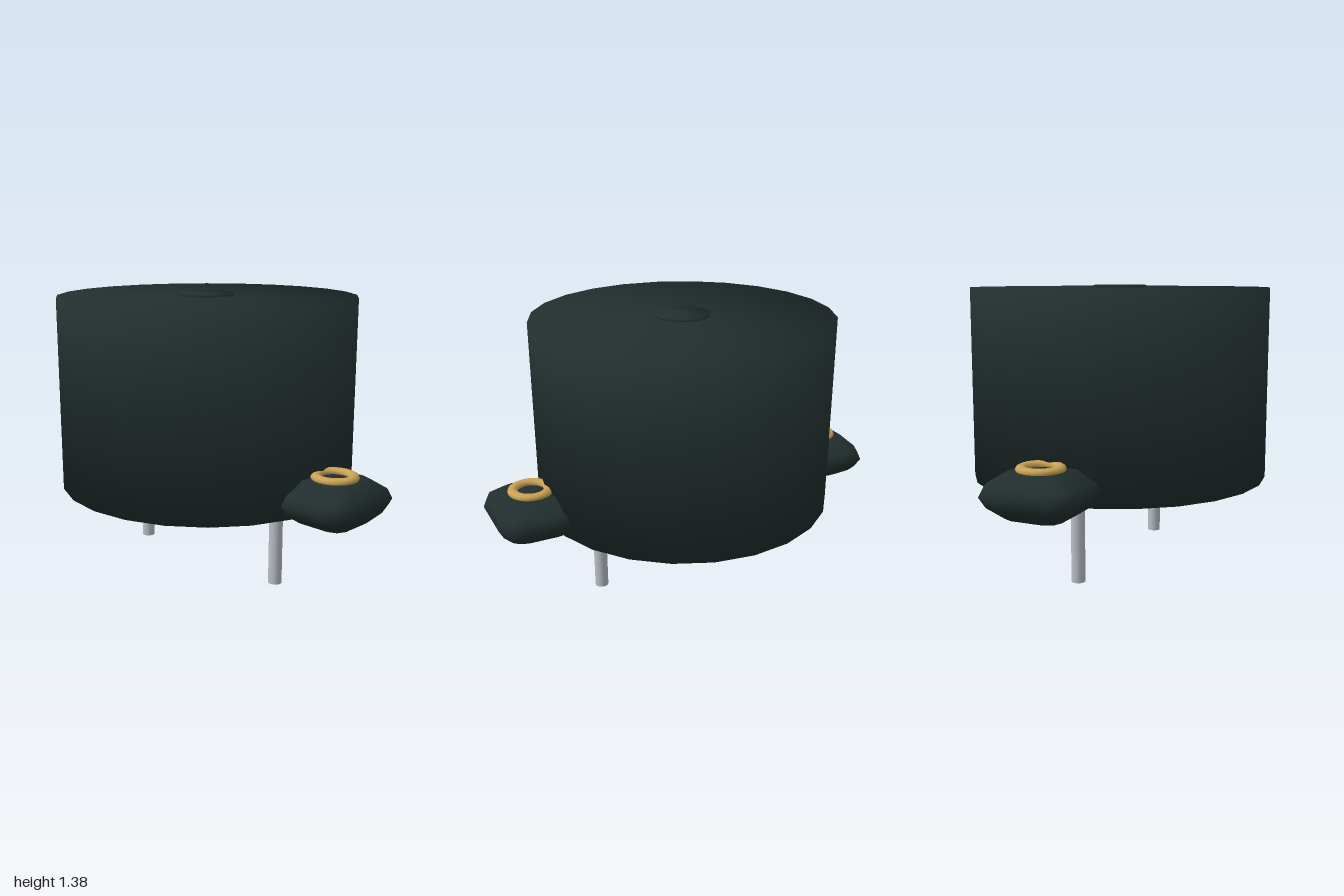
import * as THREE from 'three';
import { mergeVertices } from 'three/addons/utils/BufferGeometryUtils.js';

const dark = new THREE.MeshStandardMaterial({ color: 0x222e2e });
dark.name = 'dark green casing';
const gold = new THREE.MeshStandardMaterial({ color: 0xc9a254 });
gold.name = 'gold eyelet';
const steel = new THREE.MeshStandardMaterial({ color: 0xb9bec4 });
steel.name = 'steel pin';

// Drum whose shading blends softly over the rim into the end caps
function softDrum(radius, height, sides) {
  const g = new THREE.CylinderGeometry(radius, radius, height, sides);
  const p = g.attributes.position;
  const n = new THREE.Vector3();
  for (let i = 0; i < p.count; i++) {
    n.set(p.getX(i) / radius, Math.sign(p.getY(i)), p.getZ(i) / radius).normalize();
    g.attributes.normal.setXYZ(i, n.x, n.y, n.z);
  }
  return g;
}

// Pillow-shaped lug: chamfered rectangles stacked upward as [y, halfX, halfZ]
function lugGeometry() {
  const sections = [
    [0.405, 0.135, 0.133], [0.455, 0.185, 0.208], [0.503, 0.21, 0.235],
    [0.55, 0.193, 0.213], [0.605, 0.135, 0.125],
  ];
  const pos = [], idx = [], N = 12;
  const corner = [[1, 0.58], [0.86, 0.88], [0.55, 1]];
  for (const [y, hx, hz] of sections) {
    for (let q = 0; q < 4; q++) {
      const sx = q === 0 || q === 3 ? 1 : -1;
      const sz = q < 2 ? 1 : -1;
      const pts = q % 2 ? [...corner].reverse() : corner;
      for (const [u, v] of pts) pos.push(sx * u * hx, y, sz * v * hz);
    }
  }
  const last = sections.length - 1;
  for (let r = 0; r < last; r++) {
    for (let i = 0; i < N; i++) {
      const a = r * N + i, b = r * N + (i + 1) % N;
      idx.push(a, a + N, b, b, a + N, b + N);
    }
  }
  // Flat bottom and top
  const c0 = pos.length / 3;
  pos.push(0, sections[0][0], 0, 0, sections[last][0], 0);
  for (let i = 0; i < N; i++) {
    const j = (i + 1) % N;
    idx.push(c0, i, j, c0 + 1, last * N + j, last * N + i);
  }
  const g = new THREE.BufferGeometry();
  g.setAttribute('position', new THREE.Float32BufferAttribute(pos, 3));
  g.setIndex(idx);
  const merged = mergeVertices(g);
  merged.computeVertexNormals();
  return merged;
}

export function createModel() {
  const model = new THREE.Group();
  model.name = 'buzzer';
  const add = (name, geometry, material, x, y) => {
    const m = new THREE.Mesh(geometry, material);
    m.name = name;
    m.position.set(x, y, 0);
    model.add(m);
    return m;
  };

  // Round casing and the thin disc over the sound hole
  add('casing', softDrum(0.732, 0.93, 24), dark, 0, 0.9);
  add('soundHoleDisc', softDrum(0.133, 0.02, 32), dark, 0, 1.366);

  // Mounting lugs, eyelets and pins on both sides
  const lug = lugGeometry();
  const eyelet = new THREE.TorusGeometry(0.085, 0.025, 10, 32).rotateX(-Math.PI / 2).scale(1, 0.75, 1);
  const pin = new THREE.CylinderGeometry(0.033, 0.033, 0.46, 16);
  for (const [side, s] of [['left', 1], ['right', -1]]) {
    add(side + 'Lug', lug, dark, s * 0.79, 0);
    add(side + 'Eyelet', eyelet, gold, s * 0.8, 0.612);
    add(side + 'Pin', pin, steel, s * 0.465, 0.23);
  }
  return model;
}
